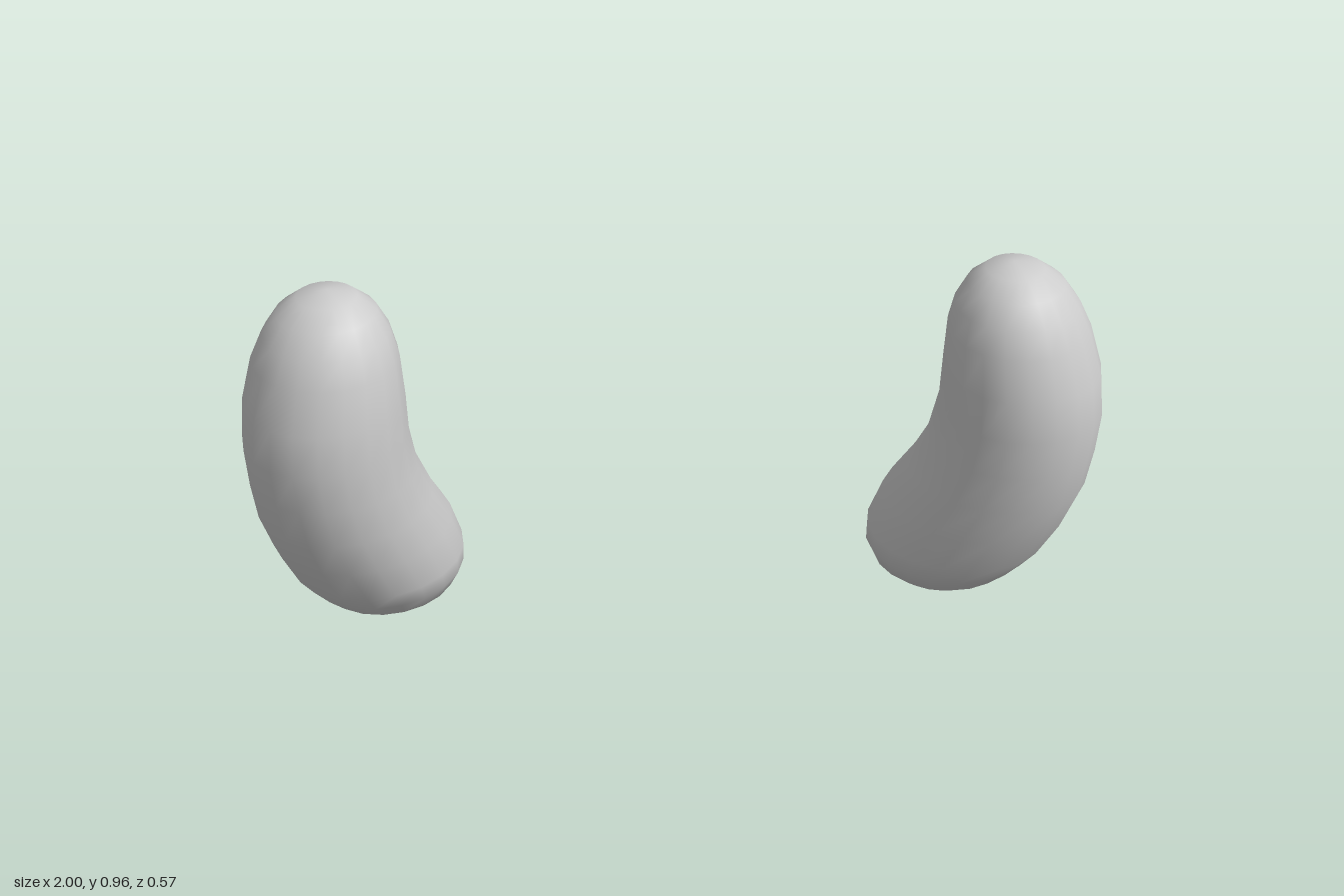
import * as THREE from 'three';

const SIDES = 20;

// Cross-sections: height, shift along the bend, half-depth along the bend, half-width across it
const SECTIONS = [
  [0, 0.19, 0, 0],
  [0.02, 0.19, 0.042, 0.038],
  [0.05, 0.192, 0.098, 0.092],
  [0.1, 0.183, 0.168, 0.156],
  [0.15, 0.168, 0.204, 0.187],
  [0.2, 0.147, 0.222, 0.2],
  [0.3, 0.101, 0.23, 0.2],
  [0.4, 0.05, 0.217, 0.197],
  [0.5, 0.016, 0.2, 0.192],
  [0.6, 0, 0.193, 0.19],
  [0.7, 0.004, 0.185, 0.186],
  [0.8, 0.019, 0.166, 0.17],
  [0.86, 0.028, 0.145, 0.147],
  [0.91, 0.035, 0.113, 0.116],
  [0.945, 0.04, 0.068, 0.07],
  [0.96, 0.043, 0, 0],
];

// Curved bean lofted through elliptical rings, closed by a single point at each end
function beanGeometry() {
  const positions = [];
  const index = [];
  const rings = SECTIONS.slice(1, -1);
  for (const [y, shift, a, b] of rings) {
    for (let i = 0; i < SIDES; i++) {
      const t = (i / SIDES) * Math.PI * 2;
      positions.push(shift + a * Math.cos(t), y, b * Math.sin(t));
    }
  }
  const bottom = rings.length * SIDES;
  const top = bottom + 1;
  for (const [y, shift] of [SECTIONS[0], SECTIONS[SECTIONS.length - 1]]) positions.push(shift, y, 0);

  const last = (rings.length - 1) * SIDES;
  for (let i = 0; i < SIDES; i++) {
    const j = (i + 1) % SIDES;
    for (let r = 0; r < last; r += SIDES) {
      index.push(r + i, r + SIDES + i, r + j);
      index.push(r + j, r + SIDES + i, r + SIDES + j);
    }
    index.push(bottom, i, j);
    index.push(last + i, top, last + j);
  }
  const geometry = new THREE.BufferGeometry();
  geometry.setAttribute('position', new THREE.Float32BufferAttribute(positions, 3));
  geometry.setIndex(index);
  geometry.computeVertexNormals();
  return geometry;
}

export function createModel() {
  const model = new THREE.Group();
  model.name = 'beanPair';
  const geometry = beanGeometry();
  const material = new THREE.MeshStandardMaterial({ color: 0xcccccc });

  // Each bean's lower end bends inward and backward
  const addBean = (name, x, z, turn) => {
    const bean = new THREE.Mesh(geometry, material);
    bean.name = name;
    bean.position.set(x, 0, z);
    bean.rotation.y = turn;
    model.add(bean);
  };
  addBean('leftBean', 0.808, 0.098, 2.413);
  addBean('rightBean', -0.808, 0.045, 0.86);
  return model;
}
